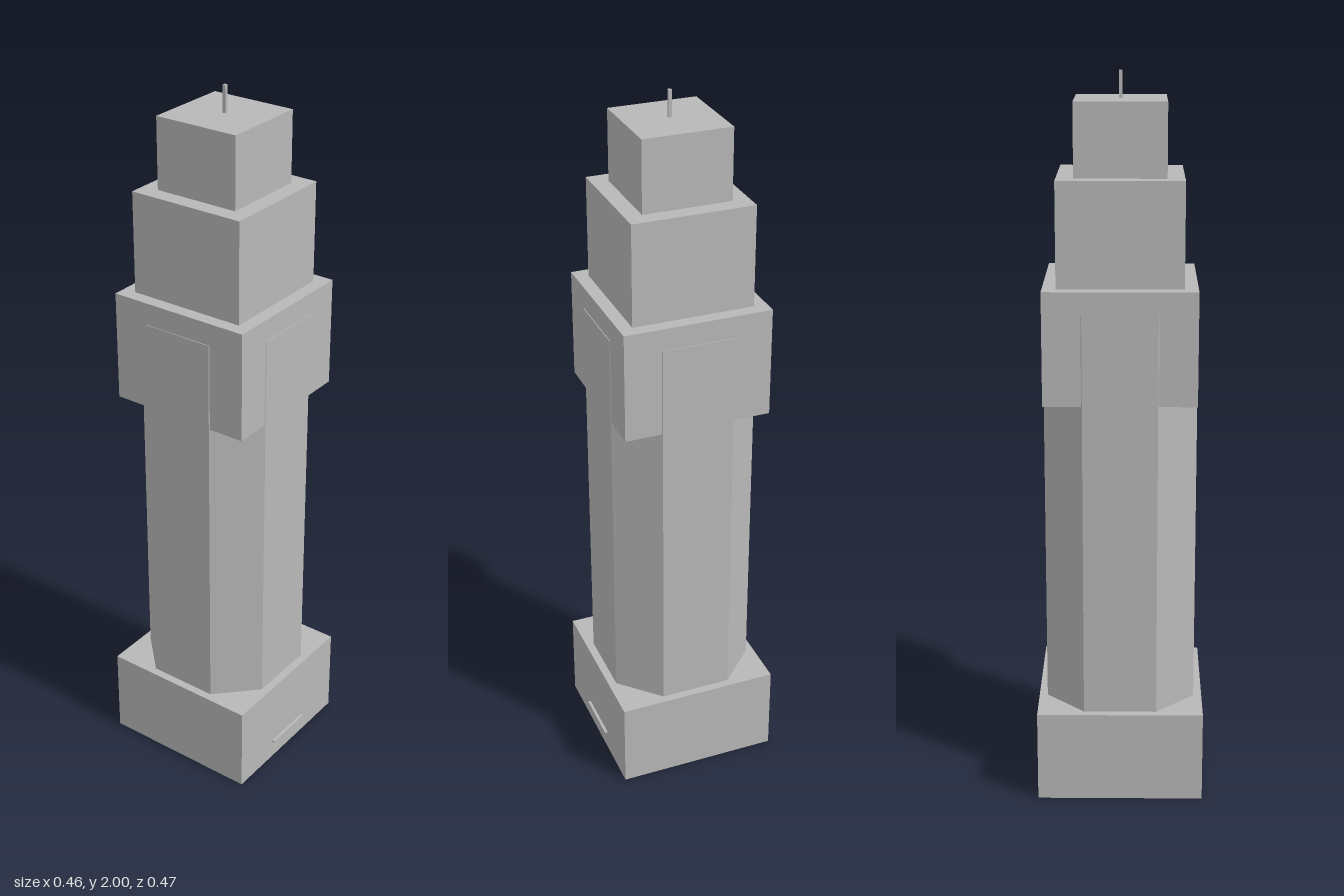
import * as THREE from 'three';

export function createModel() {
  const model = new THREE.Group();
  model.name = 'steppedTower';
  const stone = new THREE.MeshStandardMaterial({ color: 0xb8b8b8 });
  stone.name = 'stone grey';

  const axisZ = -0.005; // tower axis sits slightly back to allow for the canopy

  function add(name, geometry, x, y, z) {
    const mesh = new THREE.Mesh(geometry, stone);
    mesh.name = name;
    mesh.position.set(x, y, z);
    model.add(mesh);
    return mesh;
  }

  // Square blocks: name, half width, bottom, top
  const blocks = [
    ['base', 0.231, 0, 0.258],
    ['upperBlock', 0.206, 1.142, 1.45],
    ['middleTier', 0.169, 1.45, 1.732],
    ['topTier', 0.1225, 1.732, 1.928],
    ['antenna', 0.0045, 1.928, 2],
  ];
  for (const [name, half, bottom, top] of blocks) {
    add(name, new THREE.BoxGeometry(half * 2, top - bottom, half * 2), 0, (bottom + top) / 2, axisZ);
  }

  // Shaft with chamfered corners, standing just proud of the upper block
  const w = 0.208, c = 0.101;
  const outline = new THREE.Shape(
    [[w, -c], [w, c], [c, w], [-c, w], [-w, c], [-w, -c], [-c, -w], [c, -w]]
      .map(([x, y]) => new THREE.Vector2(x, y))
  );
  const shaft = new THREE.ExtrudeGeometry(outline, { depth: 1.388 - 0.258, bevelEnabled: false });
  shaft.rotateX(-Math.PI / 2);
  add('shaft', shaft, 0, 0.258, axisZ);

  // Thin entrance canopy on the front of the base
  add('entranceCanopy', new THREE.BoxGeometry(0.152, 0.005, 0.008), 0, 0.057, 0.23);

  return model;
}
